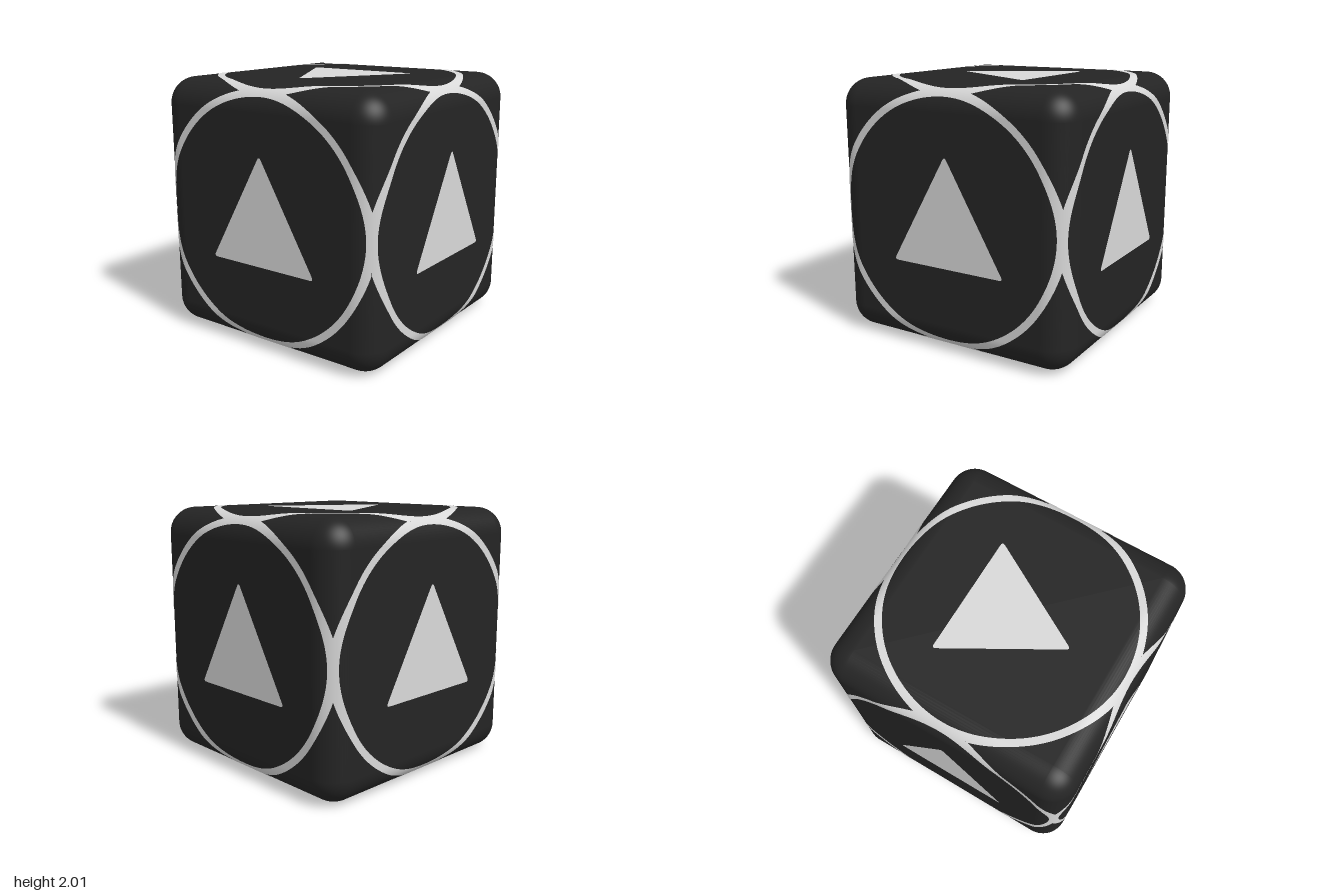
import * as THREE from 'three';
import { RoundedBoxGeometry } from 'three/addons/geometries/RoundedBoxGeometry.js';

const R = 0.205;       // edge rounding of the cube
const H = 1 - R;       // half size of the flat area
const LIFT = 0.003;    // how far painted details sit above the surface

// Point just above the rounded +z face at (x, y)
function onSurface(x, y) {
  const cx = THREE.MathUtils.clamp(x, -H, H);
  const cy = THREE.MathUtils.clamp(y, -H, H);
  const dx = x - cx, dy = y - cy;
  const n = new THREE.Vector3(dx, dy, Math.sqrt(Math.max(0, R * R - dx * dx - dy * dy))).divideScalar(R);
  return { p: new THREE.Vector3(cx, cy, H).addScaledVector(n, R + LIFT), n };
}

// Ring wrapped over the face, cut where neighbouring faces meet
function ringGeometry(inner, outer, around = 192, across = 6) {
  const limit = H + R * Math.SQRT1_2;
  const pos = [], nor = [], index = [];
  for (let i = 0; i <= around; i++) {
    const a = (i / around) * Math.PI * 2, c = Math.cos(a), s = Math.sin(a);
    const end = Math.min(outer, limit / Math.max(Math.abs(c), Math.abs(s)));
    for (let j = 0; j <= across; j++) {
      const r = THREE.MathUtils.lerp(inner, end, j / across);
      const { p, n } = onSurface(r * c, r * s);
      pos.push(p.x, p.y, p.z);
      nor.push(n.x, n.y, n.z);
      if (i < around && j < across) {
        const k = i * (across + 1) + j, m = k + across + 1;
        index.push(k, k + 1, m + 1, k, m + 1, m);
      }
    }
  }
  const g = new THREE.BufferGeometry();
  g.setAttribute('position', new THREE.Float32BufferAttribute(pos, 3));
  g.setAttribute('normal', new THREE.Float32BufferAttribute(nor, 3));
  g.setIndex(index);
  return g;
}

// Upward triangle with slightly softened corners
function triangleGeometry(radius, cut) {
  const pts = [0, 1, 2].map(i => {
    const a = Math.PI / 2 + (i * Math.PI * 2) / 3;
    return new THREE.Vector2(Math.cos(a) * radius, Math.sin(a) * radius);
  });
  const shape = new THREE.Shape();
  pts.forEach((p, i) => {
    const towards = q => p.clone().add(q.clone().sub(p).setLength(cut));
    const a = towards(pts[(i + 2) % 3]), b = towards(pts[(i + 1) % 3]);
    if (i === 0) shape.moveTo(a.x, a.y); else shape.lineTo(a.x, a.y);
    shape.quadraticCurveTo(p.x, p.y, b.x, b.y);
  });
  shape.closePath();
  return new THREE.ShapeGeometry(shape, 5);
}

export function createModel() {
  const model = new THREE.Group();
  model.name = 'markedCube';
  const dark = new THREE.MeshStandardMaterial({ color: 0x242424 });
  dark.name = 'charcoal';
  const light = new THREE.MeshStandardMaterial({ color: 0xd8d8d8 });
  light.name = 'lightGrey';

  // Body
  const body = new THREE.Mesh(new RoundedBoxGeometry(2, 2, 2, 10, R), dark);
  body.name = 'cubeBody';
  body.position.y = 1;
  model.add(body);

  // Each face: outward normal, the triangle's up direction, its sideways shift
  const faces = [
    ['front', [0, 0, 1], [0, 1, 0], 0.025],
    ['back', [0, 0, -1], [0, 1, 0], 0.005],
    ['left', [1, 0, 0], [0, 1, 0], 0.02],
    ['right', [-1, 0, 0], [0, 1, 0], 0.01],
    ['top', [0, 1, 0], [-1, 0, 0], 0.025],
    ['bottom', [0, -1, 0], [1, 0, 0], 0.025],
  ];
  const ringGeo = ringGeometry(0.91, 0.965);
  const triGeo = triangleGeometry(0.56, 0.035);

  for (const [name, n, u, shift] of faces) {
    const normal = new THREE.Vector3(...n), up = new THREE.Vector3(...u);
    const side = up.clone().cross(normal);
    const face = new THREE.Group();
    face.name = name + 'Face';
    face.quaternion.setFromRotationMatrix(new THREE.Matrix4().makeBasis(side, up, normal));
    face.position.y = 1;

    const ring = new THREE.Mesh(ringGeo, light);
    ring.name = name + 'Ring';
    const triangle = new THREE.Mesh(triGeo, light);
    triangle.name = name + 'Triangle';
    triangle.position.set(shift, -0.063, 1 + LIFT);
    face.add(ring, triangle);
    model.add(face);
  }
  return model;
}
